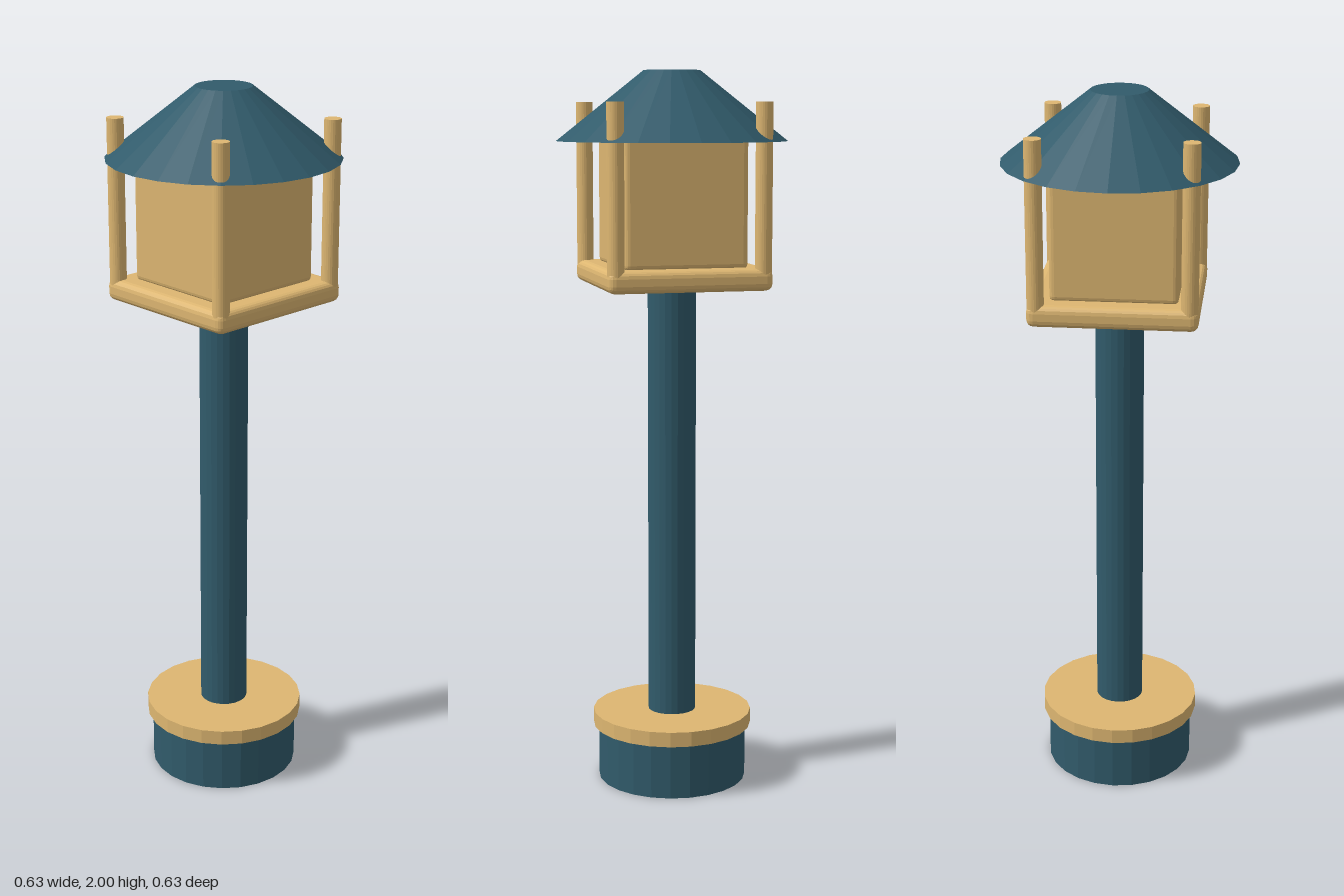
import * as THREE from 'three';
import { RoundedBoxGeometry } from 'three/addons/geometries/RoundedBoxGeometry.js';

const teal = new THREE.MeshStandardMaterial({ color: 0x315b6b, flatShading: true });
const wood = new THREE.MeshStandardMaterial({ color: 0xddb671, flatShading: true });

export function createModel() {
  const model = new THREE.Group();

  const add = (name, geometry, material, x, y, z) => {
    const mesh = new THREE.Mesh(geometry, material);
    mesh.name = name;
    mesh.position.set(x, y, z);
    model.add(mesh);
  };
  // Upright round part between two heights
  const round = (name, material, rTop, rBottom, y0, y1, x = 0, z = 0, sides = 24) =>
    add(name, new THREE.CylinderGeometry(rTop, rBottom, y1 - y0, sides), material, x, (y0 + y1) / 2, z);
  // Square block with softened edges between two heights
  const block = (name, width, y0, y1, radius) =>
    add(name, new RoundedBoxGeometry(width, y1 - y0, width, 2, radius), wood, 0, (y0 + y1) / 2, 0);

  // Foot and column
  round('base', teal, 0.21, 0.21, 0, 0.155);
  round('baseCollar', wood, 0.225, 0.225, 0.155, 0.197);
  round('column', teal, 0.067, 0.067, 0.19, 1.42);

  // Lantern head
  block('lanternTray', 0.453, 1.415, 1.475, 0.02);
  block('lanternBox', 0.342, 1.47, 1.83, 0.015);
  for (const x of [-0.2025, 0.2025]) {
    for (const z of [-0.2025, 0.2025]) {
      round('cornerPost', wood, 0.023, 0.023, 1.44, 1.915, x, z);
    }
  }
  round('roof', teal, 0.077, 0.317, 1.81, 2);

  return model;
}
